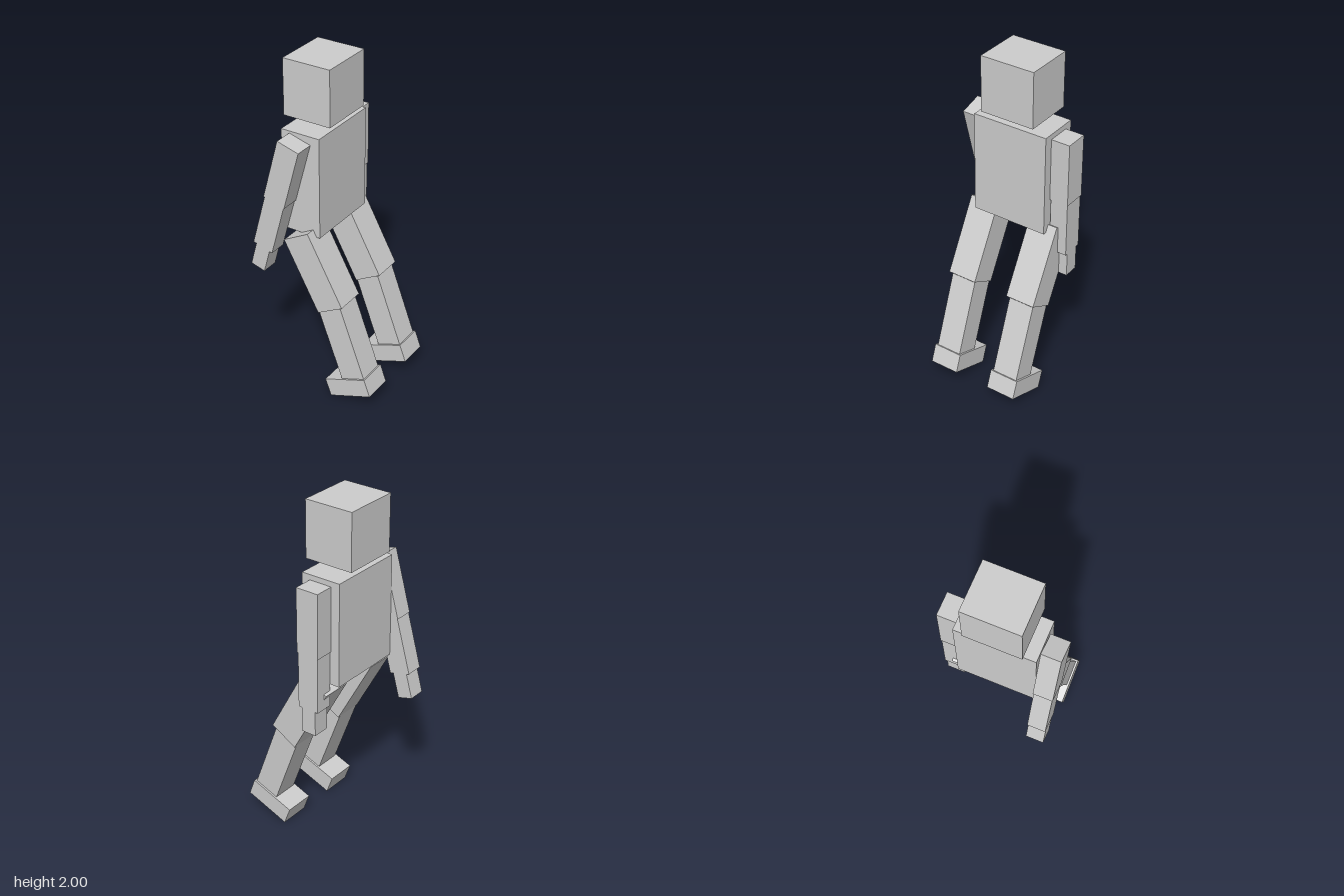
import * as THREE from 'three';

const grey = new THREE.MeshStandardMaterial({ color: 0xcccccc });
grey.name = 'grey';

// Adds a named box; size is [width, height, depth], position is its centre.
function block(parent, name, size, position) {
  const mesh = new THREE.Mesh(new THREE.BoxGeometry(...size), grey);
  mesh.name = name;
  mesh.position.set(...position);
  parent.add(mesh);
  return mesh;
}

// A pivot that swings its parts forwards or backwards.
function joint(parent, name, position, pitch) {
  const group = new THREE.Group();
  group.name = name;
  group.position.set(...position);
  group.rotation.x = pitch;
  parent.add(group);
  return group;
}

// Arm hanging from the middle of the shoulder top.
function addArm(body, name, x, swing) {
  const arm = joint(body, name, [x, 1.59, 0], swing);
  block(arm, 'upperArm', [0.114, 0.38, 0.14], [0, -0.19, 0]);
  block(arm, 'forearm', [0.107, 0.33, 0.13], [0, -0.545, 0]);
  block(arm, 'hand', [0.104, 0.15, 0.092], [0, -0.785, 0]);
}

// Bent leg: thigh swings forward, shin and foot share the ankle tilt.
function addLeg(body, name, x) {
  const leg = joint(body, name, [x, 0, 0], 0);
  const thigh = block(leg, 'thigh', [0.18, 0.468, 0.18], [0, 0.803, 0.111]);
  thigh.rotation.x = -0.5;
  const lower = joint(leg, 'lowerLeg', [0, 0.102, 0.341], -0.358);
  block(lower, 'shin', [0.157, 0.46, 0.157], [0, 0.278, 0.052]);
  block(lower, 'foot', [0.18, 0.11, 0.281], [0, 0, 0]);
}

export function createModel() {
  const model = new THREE.Group();
  model.name = 'blockFigure';

  // The whole figure is turned towards its left.
  const body = new THREE.Group();
  body.name = 'body';
  body.position.set(-0.0425, 0, -0.158);
  body.rotation.y = 0.605;
  model.add(body);

  block(body, 'head', [0.334, 0.333, 0.298], [0, 1.8335, 0]);
  block(body, 'torso', [0.465, 0.61, 0.244], [0, 1.315, 0]);

  addArm(body, 'leftArm', 0.291, 0);
  addArm(body, 'rightArm', -0.291, 0.27);
  for (const [side, s] of [['left', 1], ['right', -1]]) addLeg(body, side + 'Leg', 0.2 * s);

  return model;
}
